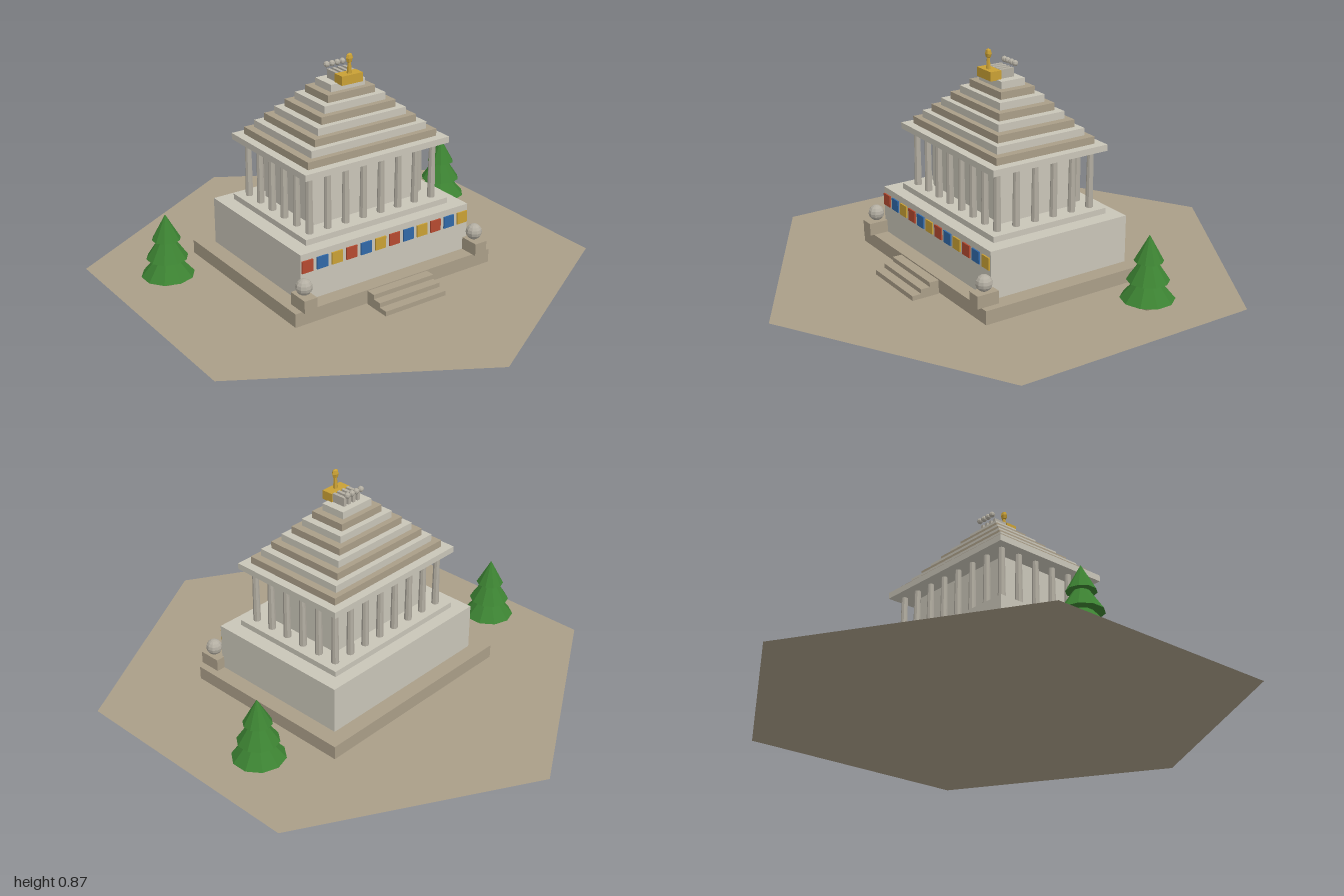
import * as THREE from 'three';

const mat = (name, color, extra = {}) => {
  const m = new THREE.MeshStandardMaterial({ color, ...extra });
  m.name = name;
  return m;
};

export function createModel() {
  const root = new THREE.Group();
  root.name = 'temple';
  const tan = mat('tan stone', 0xaa9e88);
  const ground = mat('ground tan', 0xaa9e88, { side: THREE.DoubleSide });
  const light = mat('pale stone', 0xc9c5b8);
  const grey = mat('grey stone', 0xb3aea2, { flatShading: true });
  const gold = mat('gold', 0xc9a035, { flatShading: true });
  const red = mat('red', 0xb54a30);
  const blue = mat('blue', 0x3068a8);
  const green = mat('tree green', 0x3c8232, { flatShading: true });
  const bark = mat('bark', 0x92806c, { flatShading: true });

  const add = (name, geo, m, x, y, z, parent = root) => {
    const mesh = new THREE.Mesh(geo, m);
    mesh.name = name;
    mesh.position.set(x, y, z);
    parent.add(mesh);
    return mesh;
  };
  // Box given by its size, bottom and top heights
  const block = (name, m, w, d, y0, y1, x = 0, z = 0, parent = root) =>
    add(name, new THREE.BoxGeometry(w, y1 - y0, d), m, x, (y0 + y1) / 2, z, parent);
  const group = (name) => {
    const g = new THREE.Group();
    g.name = name;
    root.add(g);
    return g;
  };

  // Hexagonal ground
  const hex = new THREE.CircleGeometry(1, 6, Math.PI / 2).rotateX(-Math.PI / 2);
  add('ground', hex, ground, 0, 0, 0);

  // Terrace, podium, chamber and entablature
  block('terrace', tan, 0.91, 0.74, 0.007, 0.062);
  block('podium', light, 0.78, 0.614, 0.062, 0.252);
  block('stylobate', light, 0.66, 0.51, 0.252, 0.275);
  block('chamber', light, 0.48, 0.33, 0.275, 0.505);
  block('architrave', light, 0.66, 0.51, 0.505, 0.53);

  // Front steps
  const steps = group('steps');
  for (let i = 0; i < 3; i++)
    block('step', tan, 0.28, 0.0385, 0.007, 0.062 - i * 0.018, 0, 0.395 + i * 0.0375, steps);

  // Coloured panels along the podium front
  const panels = group('panels');
  for (let i = 0; i < 12; i++)
    block('panel', [red, blue, gold][i % 3], 0.048, 0.008, 0.178, 0.226,
      -0.362 + i * 0.0658, 0.309, panels);

  // Colonnade around the chamber
  const colonnade = group('colonnade');
  const shaft = new THREE.CylinderGeometry(0.012, 0.015, 0.23, 8);
  const column = (x, z) => add('column', shaft, grey, x, 0.39, z, colonnade);
  for (let i = 0; i < 8; i++)
    for (const s of [-1, 1]) column(-0.285 + i * 0.57 / 7, s * 0.21);
  for (let i = 1; i < 5; i++)
    for (const s of [-1, 1]) column(s * 0.285, -0.21 + i * 0.084);

  // Stepped pyramid roof
  const roof = group('roof');
  for (let i = 0; i < 8; i++)
    block('roofTier', i % 2 ? light : tan, 2 * (0.295 - i * 0.0311), 2 * (0.22 - i * 0.0239),
      0.53 + i * 0.029, 0.559 + i * 0.029, 0, 0, roof);

  // Chariot with rider and four horses
  const chariot = group('chariot');
  block('chariotBody', gold, 0.095, 0.048, 0.76, 0.796, 0, 0.057, chariot);
  add('riderBody', new THREE.CylinderGeometry(0.006, 0.01, 0.045, 6), gold, 0, 0.818, 0.06, chariot);
  add('riderHead', new THREE.SphereGeometry(0.018, 6, 4), gold, 0, 0.855, 0.06, chariot)
    .scale.set(0.9, 1.1, 0.65);
  for (let i = 0; i < 4; i++) {
    const x = -0.036 + i * 0.024;
    block('horseBody', grey, 0.013, 0.06, 0.762, 0.797, x, 0.004, chariot);
    add('horseHead', new THREE.SphereGeometry(0.012, 8, 6), grey, x, 0.811, -0.036, chariot);
  }

  for (const s of [-1, 1]) {
    // Ball on a pedestal at each front corner
    block('pedestal', tan, 0.055, 0.09, 0.062, 0.112, s * 0.399, 0.342);
    add('stoneBall', new THREE.SphereGeometry(0.032, 10, 8), grey, s * 0.399, 0.144, 0.342);

    // Conifer
    const tree = group('tree');
    tree.position.set(s * 0.665, 0, -0.193);
    add('trunk', new THREE.CylinderGeometry(0.018, 0.021, 0.05, 7), bark, 0, 0.032, 0, tree);
    for (const [r, y, h] of [[0.102, 0.05, 0.12], [0.08, 0.122, 0.12], [0.055, 0.198, 0.1]])
      add('foliage', new THREE.ConeGeometry(r, h, 10), green, 0, y + h / 2, 0, tree);
  }
  return root;
}
